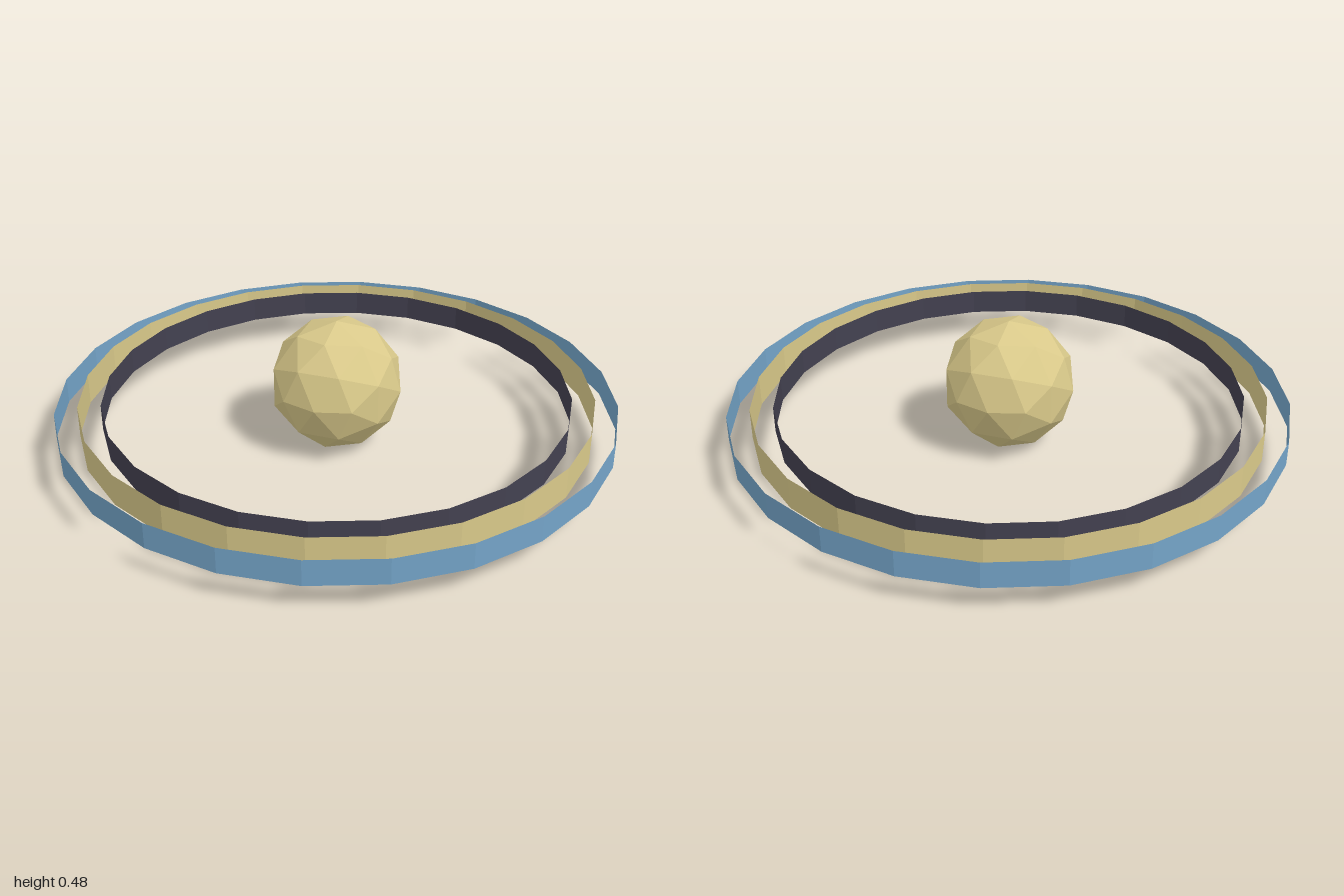
import * as THREE from 'three';

export function createModel() {
  const model = new THREE.Group();
  model.name = 'ringedGlobe';

  const material = (name, color) => {
    const m = new THREE.MeshStandardMaterial({ color, flatShading: true, side: THREE.DoubleSide });
    m.name = name;
    return m;
  };
  const gold = material('paleGold', 0xd9c98a);
  const blue = material('skyBlue', 0x74a4c8);
  const dark = material('darkSlate', 0x434150);

  // Faceted globe, turned so a five-sided corner faces front and an edge midpoint is on top
  const radius = 0.239;
  const globe = new THREE.Mesh(new THREE.IcosahedronGeometry(radius, 1), gold);
  globe.geometry.rotateX(Math.atan(2 / (1 + Math.sqrt(5))));
  globe.geometry.rotateZ(Math.PI / 2);
  globe.position.y = radius;
  globe.name = 'globe';
  model.add(globe);

  // Thin upright bands around the globe: name, radius, bottom, top, material
  const bands = [
    ['outerRing', 1, 0.099, 0.192, blue],
    ['middleRing', 0.918, 0.1, 0.213, gold],
    ['innerRing', 0.837, 0.12, 0.213, dark],
  ];
  for (const [name, r, bottom, top, mat] of bands) {
    const ring = new THREE.Mesh(new THREE.CylinderGeometry(r, r, top - bottom, 24, 1, true), mat);
    ring.position.y = (top + bottom) / 2;
    ring.name = name;
    model.add(ring);
  }
  return model;
}
